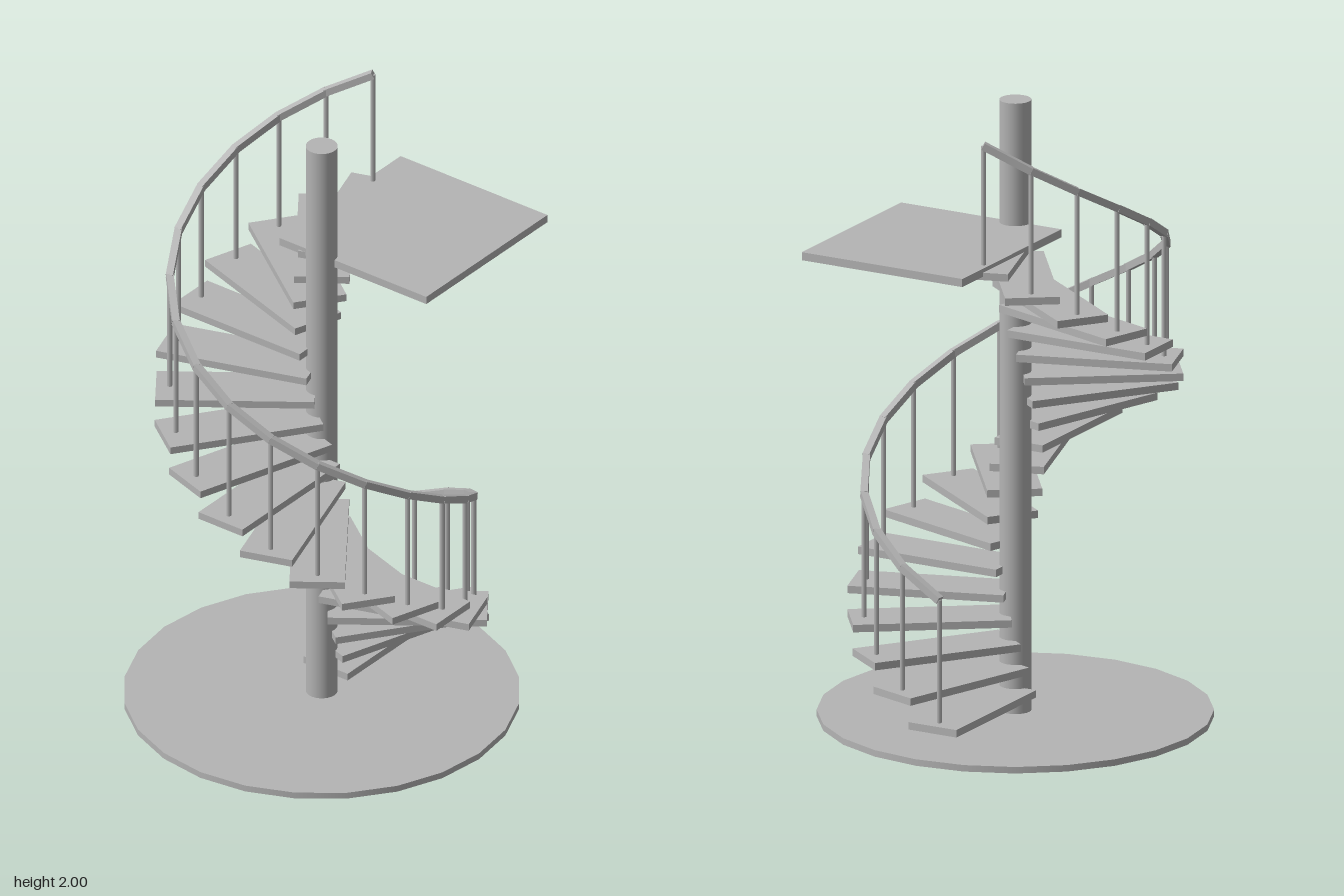
import * as THREE from 'three';

const STEPS = 20;
const TURN = Math.PI / 10;   // angle between steps
const RISE = 0.0783;         // height between steps
const FIRST = 0.09;          // centre height of the first step
const RAIL_R = 0.472;
const RAIL_UP = 0.41;        // rail height above each step

export function createModel() {
  const model = new THREE.Group();
  model.name = 'spiralStaircase';
  const grey = new THREE.MeshStandardMaterial({ color: 0xb4b4b4 });
  grey.name = 'plain grey';

  const add = (name, geometry, x, y, z, parent = model) => {
    const mesh = new THREE.Mesh(geometry, grey);
    mesh.name = name;
    mesh.position.set(x, y, z);
    parent.add(mesh);
    return mesh;
  };
  const group = (name) => {
    const g = new THREE.Group();
    g.name = name;
    model.add(g);
    return g;
  };

  // Base disc, centre pole and upper landing
  add('base', new THREE.CylinderGeometry(0.617, 0.617, 0.021, 24), 0, 0.0105, 0);
  add('pole', new THREE.CylinderGeometry(0.05, 0.05, 1.98, 24), 0, 1.01, 0);
  add('landing', new THREE.BoxGeometry(0.616, 0.026, 0.575), 0.308, 1.59, 0.122);

  // Treads winding from +x towards +z, each with one baluster
  const treads = group('treads');
  const balusters = group('balusters');
  const treadShape = new THREE.BoxGeometry(0.495, 0.024, 0.172);
  treadShape.translate(0.2675, 0, 0);
  const postShape = new THREE.CylinderGeometry(0.008, 0.008, RAIL_UP, 8);
  const railPoints = [];
  for (let i = 0; i < STEPS; i++) {
    const a = i * TURN;
    const y = FIRST + i * RISE;
    const x = RAIL_R * Math.cos(a);
    const z = RAIL_R * Math.sin(a);
    add('tread', treadShape, 0, y, 0, treads).rotation.y = -a;
    add('baluster', postShape, x, y + RAIL_UP / 2, z, balusters);
    railPoints.push(new THREE.Vector3(x, y + RAIL_UP, z));
  }

  // Handrail of straight square bars joining the baluster tops
  const handrail = group('handrail');
  for (let i = 0; i < STEPS - 1; i++) {
    const a = railPoints[i];
    const b = railPoints[i + 1];
    const mid = a.clone().lerp(b, 0.5);
    const bar = add('railSegment', new THREE.BoxGeometry(0.023, 0.023, a.distanceTo(b) + 0.004),
      mid.x, mid.y, mid.z, handrail);
    bar.lookAt(b);
  }
  return model;
}
